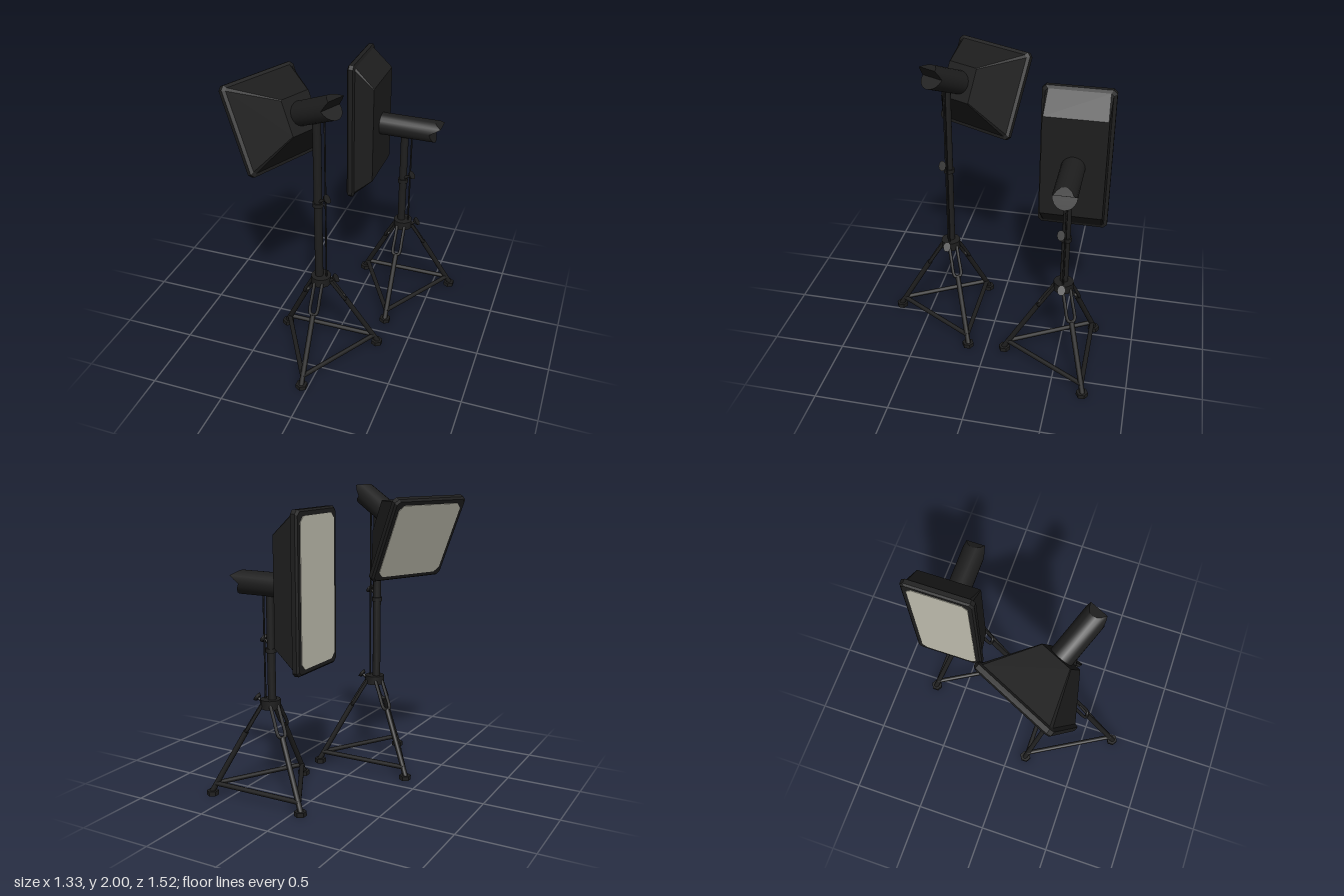
import * as THREE from 'three';
import { mergeGeometries, toCreasedNormals } from 'three/addons/utils/BufferGeometryUtils.js';

const V = (x, y, z) => new THREE.Vector3(x, y, z);

export function createModel() {
  const black = new THREE.MeshStandardMaterial({ color: 0x1e1e1e });
  black.name = 'matte black';
  const diffuserGrey = new THREE.MeshStandardMaterial({ color: 0xc1bfb0 });
  diffuserGrey.name = 'diffuser grey';

  const add = (parent, name, geometry, material = black) => {
    const mesh = new THREE.Mesh(geometry, material);
    mesh.name = name;
    parent.add(mesh);
    return mesh;
  };

  // Straight round bar between two points
  const bar = (parent, name, a, b, r0, r1 = r0, sides = 12) => {
    const mesh = add(parent, name, new THREE.CylinderGeometry(r1, r0, a.distanceTo(b), sides));
    mesh.position.copy(a).add(b).multiplyScalar(0.5);
    mesh.quaternion.setFromUnitVectors(V(0, 1, 0), b.clone().sub(a).normalize());
    return mesh;
  };

  // Solid lofted along x through chamfered rectangles [x, halfHeight, halfWidth, chamfer]
  const loft = (sections) => {
    const rings = sections.map(([x, h, w, c]) => [
      [h, c - w], [h, w - c], [h - c, w], [c - h, w],
      [-h, w - c], [-h, c - w], [c - h, -w], [h - c, -w],
    ].map(([y, z]) => [x, y, z]));
    const pos = [];
    const tri = (...points) => points.forEach((p) => pos.push(...p));
    for (let i = 0; i < rings.length - 1; i++) {
      const a = rings[i], b = rings[i + 1];
      for (let k = 0; k < 8; k++) {
        const n = (k + 1) % 8;
        tri(a[k], a[n], b[n]);
        tri(a[k], b[n], b[k]);
      }
    }
    const first = rings[0], last = rings[rings.length - 1];
    for (let k = 1; k < 7; k++) {
      tri(first[0], first[k + 1], first[k]);
      tri(last[0], last[k], last[k + 1]);
    }
    const geometry = new THREE.BufferGeometry();
    geometry.setAttribute('position', new THREE.Float32BufferAttribute(pos, 3));
    geometry.computeVertexNormals();
    return geometry;
  };

  // How far the lamp's open end is cut back at relative height h (-1 to 1)
  const cut = (h) => {
    const steps = [[-1.01, -0.04], [0, -0.075], [0.588, 0], [1.01, -0.055]];
    const k = Math.max(1, steps.findIndex(([y]) => y >= h - 1e-4));
    const [y0, d0] = steps[k - 1], [y1, d1] = steps[k];
    return d0 + (d1 - d0) * (h - y0) / (y1 - y0);
  };

  // Lamp tube along x whose end is cut in a sideways notch
  const lampTube = (start, end) => {
    const r = 0.078;
    const side = new THREE.CylinderGeometry(r, r, end - start, 20, 1, true);
    side.rotateZ(-Math.PI / 2).translate((start + end) / 2, 0, 0);
    const p = side.attributes.position;
    for (let i = 0; i < p.count; i++) {
      if (p.getX(i) > end - 0.001) p.setX(i, end + cut(p.getY(i) / r));
    }
    const cap = new THREE.PlaneGeometry(2, 2, 1, 10).rotateY(Math.PI / 2);
    const c = cap.attributes.position;
    for (let i = 0; i < c.count; i++) {
      const angle = Math.floor(i / 2) * Math.PI / 10;
      const h = Math.cos(angle);
      c.setXYZ(i, end + cut(h), r * h, Math.sign(c.getZ(i)) * r * Math.sin(angle));
    }
    return toCreasedNormals(mergeGeometries([side, cap]), 0.5);
  };

  // Wing screw: stem with a flat oval grip
  const wingScrew = (parent, name, a, b) => {
    const screw = new THREE.Group();
    screw.name = name;
    bar(screw, 'screwStem', a, b, 0.012, 0.009, 8);
    const dir = b.clone().sub(a).normalize();
    const grip = bar(screw, 'screwGrip', b, b.clone().addScaledVector(dir, 0.018), 0.024, 0.034, 10);
    grip.scale.z = 0.8;
    parent.add(screw);
  };

  // One tripod leg pointing along +z
  const makeLeg = () => {
    const leg = new THREE.Group();
    leg.name = 'tripodLeg';
    const foot = add(leg, 'foot', toCreasedNormals(new THREE.CylinderGeometry(0.04, 0.04, 0.03, 6), 0.4));
    foot.position.set(0, 0.015, 0.394);
    bar(leg, 'lowerLeg', V(0, 0.02, 0.4), V(0, 0.44, 0.162), 0.018);
    const fork = new THREE.CatmullRomCurve3([
      V(-0.027, 0.625, 0.052), V(-0.027, 0.54, 0.104), V(-0.027, 0.465, 0.148),
      V(-0.02, 0.447, 0.159), V(0, 0.441, 0.162), V(0.02, 0.447, 0.159),
      V(0.027, 0.465, 0.148), V(0.027, 0.54, 0.104), V(0.027, 0.625, 0.052),
    ]);
    add(leg, 'upperFork', new THREE.TubeGeometry(fork, 40, 0.0115, 8));
    const r = 0.373, a = Math.PI * 2 / 3;
    bar(leg, 'crossBar', V(0, 0.08, r), V(r * Math.sin(a), 0.08, r * Math.cos(a)), 0.016);
    return leg;
  };

  // Tripod with hub, column, side rod and clamp
  const makeStand = (top, clampY) => {
    const stand = new THREE.Group();
    stand.name = 'stand';
    for (let i = 0; i < 3; i++) {
      const leg = makeLeg();
      leg.rotation.y = i * Math.PI * 2 / 3;
      stand.add(leg);
    }
    const hub = add(stand, 'hub', toCreasedNormals(new THREE.CylinderGeometry(0.067, 0.067, 0.06, 12), 0.6));
    hub.position.y = 0.629;
    bar(stand, 'column', V(-0.013, 0.6, 0), V(-0.013, top, 0), 0.027, 0.027, 16);
    bar(stand, 'sideRod', V(0.038, 0.65, 0), V(0.038, top, 0), 0.006, 0.006, 8);
    bar(stand, 'clampCollar', V(-0.013, clampY - 0.014, 0), V(-0.013, clampY + 0.014, 0), 0.036, 0.036, 16);
    wingScrew(stand, 'clampScrew', V(-0.005, clampY + 0.025, 0.01), V(0.045, clampY + 0.058, 0.022));
    wingScrew(stand, 'hubScrew', V(0.05, 0.62, 0), V(0.093, 0.65, 0));
    return stand;
  };

  // Softbox head facing -x, front face at the local origin
  const makeHead = (h, w, back, tubeEnd, tubeLift) => {
    const [depth, backH, backW] = back;
    const head = new THREE.Group();
    head.name = 'softboxHead';
    add(head, 'softboxShell', loft([
      [0, h - 0.012, w - 0.012, 0.022], [0.012, h, w, 0.024], [0.042, h, w, 0.024],
      [0.05, h - 0.02, w - 0.022, 0.016], [depth, backH, backW, 0.005],
    ]));
    add(head, 'diffuser', loft([
      [-0.004, h - 0.038, w - 0.038, 0.035], [0.002, h - 0.038, w - 0.038, 0.035],
    ]), diffuserGrey);
    const tube = add(head, 'lampTube', lampTube(depth - 0.01, tubeEnd));
    tube.position.y = tubeLift;
    return head;
  };

  const model = new THREE.Group();
  model.name = 'studioLights';

  // Front light: square softbox, raised high and tilted down
  const frontLight = new THREE.Group();
  frontLight.name = 'frontLight';
  const frontStand = makeStand(1.83, 1.21);
  frontStand.position.set(-0.04, 0, 0.327);
  const squareHead = makeHead(0.297, 0.295, [0.336, 0.117, 0.112], 0.69, 0);
  squareHead.position.set(-0.449, 1.66, 0.149);
  const tilt = THREE.MathUtils.degToRad(25);
  squareHead.rotation.set(0, -tilt, tilt, 'YZX');
  frontLight.add(frontStand, squareHead);

  // Rear light: tall softbox, level
  const rearLight = new THREE.Group();
  rearLight.name = 'rearLight';
  const rearStand = makeStand(1.37, 0.985);
  rearStand.position.set(0.283, 0, -0.523);
  const tallHead = makeHead(0.498, 0.233, [0.183, 0.348, 0.207], 0.612, 0.011);
  tallHead.position.set(-0.08, 1.399, -0.523);
  rearLight.add(rearStand, tallHead);

  model.add(frontLight, rearLight);
  return model;
}
